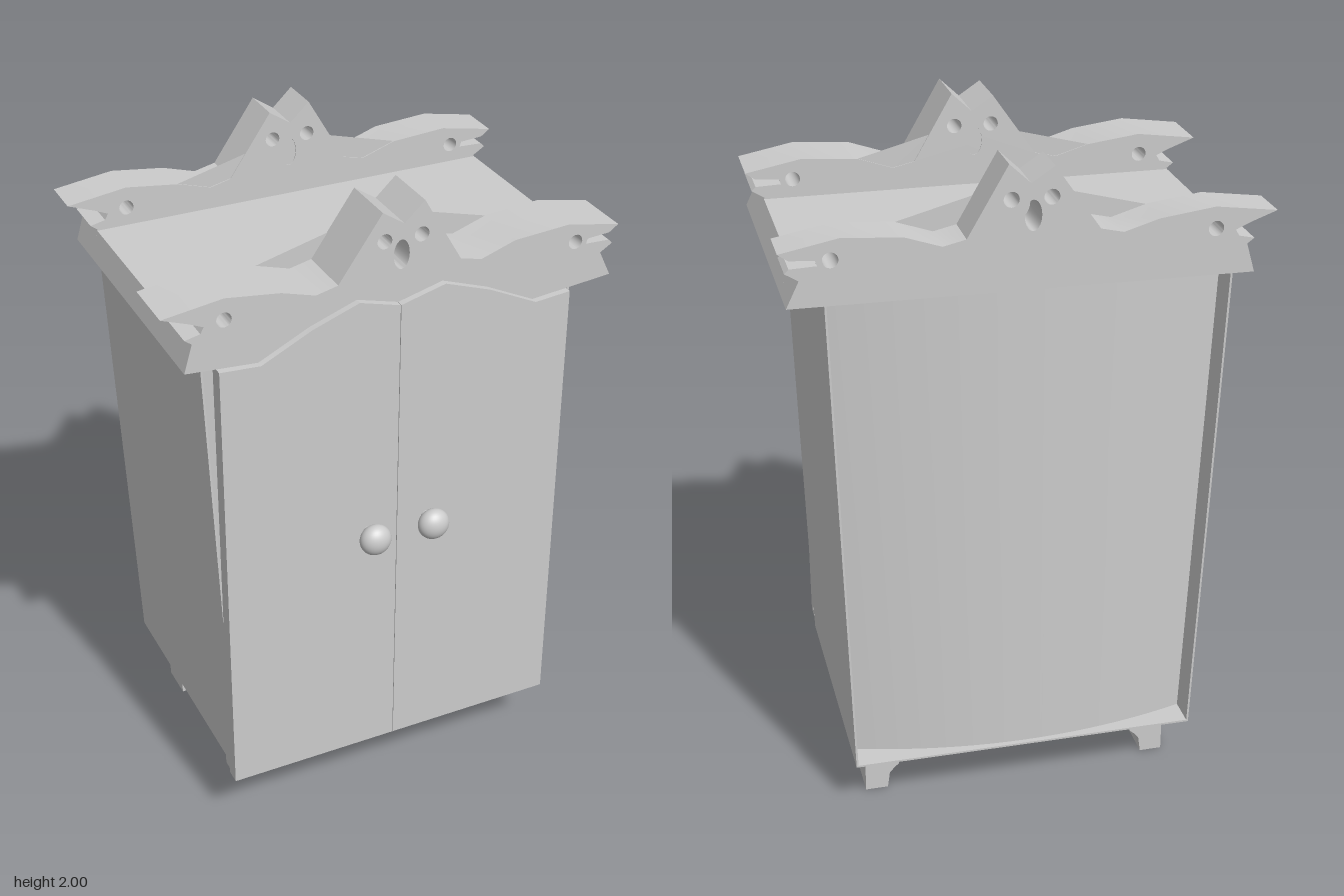
import * as THREE from 'three';
import { toCreasedNormals } from 'three/addons/utils/BufferGeometryUtils.js';

const material = new THREE.MeshStandardMaterial({ color: 0xcccccc });
const thinMaterial = new THREE.MeshStandardMaterial({ color: 0xcccccc, side: THREE.DoubleSide });

const toShape = (points) => new THREE.Shape(points.map(([x, y]) => new THREE.Vector2(x, y)));

// Board with an x/y outline, running from z0 to z1; holes are [x, y, rx, ry]
function board(name, points, z0, z1, holes = []) {
  const shape = toShape(points);
  for (const [x, y, rx, ry] of holes) {
    shape.holes.push(new THREE.Path().absellipse(x, y, rx, ry, 0, Math.PI * 2, true));
  }
  const geometry = new THREE.ExtrudeGeometry(shape, { depth: z1 - z0, bevelEnabled: false, curveSegments: 10 });
  geometry.translate(0, 0, z0);
  const mesh = new THREE.Mesh(toCreasedNormals(geometry, 0.6), material);
  mesh.name = name;
  return mesh;
}

// Cabinet core with bowed front and back, widening towards the top
function bowedCore() {
  const plan = [];
  const steps = 20;
  for (const [side, edge] of [[1, 0.395], [-1, 0.24]]) {
    for (let i = 0; i <= steps; i++) {
      const u = 1 - (2 * i) / steps;
      plan.push([side * u, side * (edge + 0.075 * (1 - u * u))]);
    }
  }
  const geometry = new THREE.ExtrudeGeometry(toShape(plan), { depth: 1.487, bevelEnabled: false });
  geometry.rotateX(-Math.PI / 2);
  geometry.translate(0, 0.163, 0);
  const position = geometry.attributes.position;
  for (let i = 0; i < position.count; i++) {
    const t = (position.getY(i) - 0.163) / 1.487;
    position.setX(i, position.getX(i) * (0.516 + 0.05 * t) + 0.01 * (1 - t));
  }
  const mesh = new THREE.Mesh(toCreasedNormals(geometry, 0.6), material);
  mesh.name = 'cabinetCore';
  return mesh;
}

// Wavy line shared by the front crest and the door tops, left to right
const wave = [[-0.42, 1.622], [-0.27, 1.695], [-0.13, 1.745], [-0.005, 1.71],
  [0.13, 1.745], [0.27, 1.695], [0.42, 1.622]];

// Upper crest outline from the lower right corner round to the lower left
const crestTop = [
  [0.672, 1.646], [0.635, 1.722], [0.672, 1.745], [0.66, 1.757], [0.585, 1.76], [0.59, 1.775],
  [0.66, 1.78], [0.688, 1.8], [0.524, 1.832], [0.354, 1.82], [0.25, 1.785], [0.185, 1.8],
  [0.07, 1.998], [0.01, 1.942], [-0.055, 1.985], [-0.185, 1.8], [-0.25, 1.785], [-0.35, 1.815],
  [-0.51, 1.836], [-0.688, 1.812], [-0.61, 1.783], [-0.57, 1.765], [-0.58, 1.747],
  [-0.625, 1.737], [-0.605, 1.722], [-0.63, 1.638],
];
const crestHoles = [
  [-0.513, 1.773, 0.022, 0.022], [0.55, 1.773, 0.022, 0.022],
  [-0.048, 1.9, 0.022, 0.022], [0.063, 1.9, 0.022, 0.022],
  [0.003, 1.852, 0.024, 0.044],
];

function crest(name, bottom, z0, z1, innerZ) {
  const group = new THREE.Group();
  group.name = name;
  group.add(board(name + 'Board', [...crestTop, ...bottom], z0, z1, crestHoles));
  // Thin webs beside the peak and the closed back of the oval opening
  const webs = [
    toShape([[-0.35, 1.815], [-0.25, 1.785], [-0.185, 1.8], [-0.135, 1.87]]),
    toShape([[0.354, 1.82], [0.25, 1.785], [0.185, 1.8], [0.14, 1.878]]),
    new THREE.Shape().absellipse(0.003, 1.852, 0.024, 0.044, 0, Math.PI * 2),
  ];
  for (const shape of webs) {
    const web = new THREE.Mesh(new THREE.ShapeGeometry(shape), thinMaterial);
    web.name = 'crestWeb';
    web.position.z = innerZ;
    group.add(web);
  }
  return group;
}

export function createModel() {
  const model = new THREE.Group();
  model.name = 'wardrobe';

  // Cabinet: thin leaning sides and floor around the core
  model.add(
    board('rightSide', [[-0.51, 0.16], [-0.504, 0.16], [-0.564, 1.645], [-0.57, 1.645]], -0.485, 0.34),
    board('leftSide', [[0.524, 0.16], [0.53, 0.16], [0.57, 1.645], [0.564, 1.645]], -0.485, 0.34),
    board('floor', [[-0.508, 0.16], [0.528, 0.16], [0.528, 0.166], [-0.508, 0.166]], -0.485, 0.34),
    bowedCore(),
  );

  // Top slab with sloping ends in line with the crests
  model.add(board('topSlab', [[-0.63, 1.638], [0.672, 1.646], [0.637, 1.718], [-0.606, 1.718]], -0.363, 0.211));

  // Carved crests: wavy lower edge in front, straight behind
  model.add(
    crest('frontCrest', wave, 0.21, 0.385, 0.213),
    crest('backCrest', [], -0.49, -0.362, -0.365),
  );

  // Doors, their tops following the wave
  model.add(
    board('rightDoor', [[-0.54, 0.19], [-0.007, 0.19], [-0.007, 1.71], ...wave.slice(0, 3).reverse(), [-0.54, 1.63]], 0.358, 0.405),
    board('leftDoor', [[0.53, 0.19], [-0.005, 0.19], [-0.005, 1.71], ...wave.slice(4), [0.53, 1.632]], 0.358, 0.405),
  );

  // Door knobs on short stems
  for (const x of [-0.1, 0.088]) {
    const knob = new THREE.Group();
    knob.name = 'knob';
    const ball = new THREE.Mesh(new THREE.SphereGeometry(0.048, 32, 20), material);
    ball.name = 'knobBall';
    ball.scale.z = 0.77;
    ball.position.z = 0.456;
    const stem = new THREE.Mesh(new THREE.CylinderGeometry(0.015, 0.015, 0.05, 16), material);
    stem.name = 'knobStem';
    stem.rotation.x = Math.PI / 2;
    stem.position.z = 0.42;
    knob.add(ball, stem);
    knob.position.set(x, 0.993, 0);
    model.add(knob);
  }

  // Four feet with a scalloped inner edge
  const foot = [[0, 0.163], [0, 0], [0.068, 0], [0.075, 0.05], [0.09, 0.068], [0.104, 0.08],
    [0.104, 0.115], [0.112, 0.14], [0.128, 0.155], [0.128, 0.163]];
  for (const [outer, dir, side] of [[-0.46, 1, 'Right'], [0.488, -1, 'Left']]) {
    const outline = foot.map(([x, y]) => [outer + dir * x, y]);
    model.add(
      board('front' + side + 'Foot', outline, 0.118, 0.21),
      board('back' + side + 'Foot', outline, -0.383, -0.27),
    );
  }

  return model;
}
